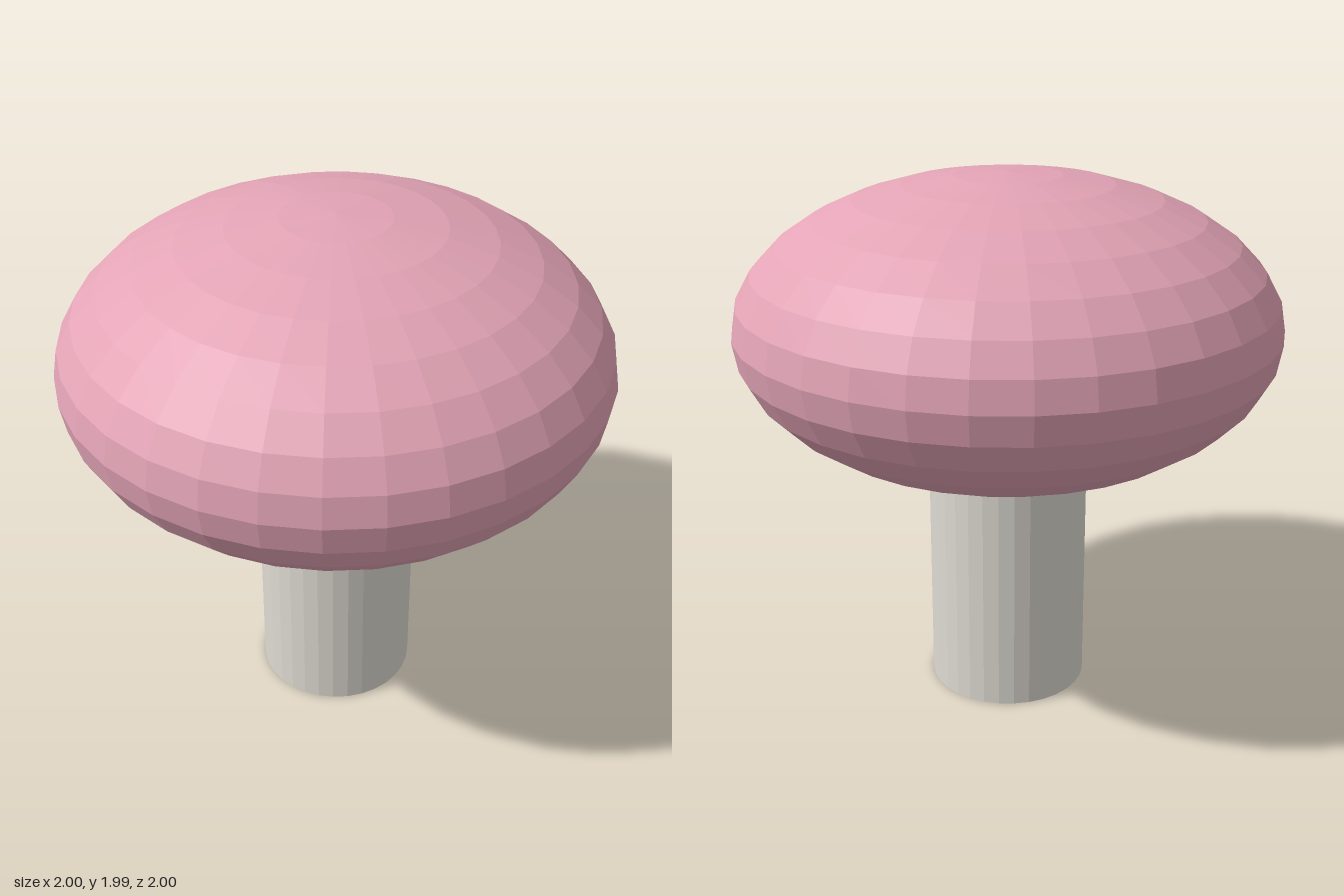
import * as THREE from 'three';

export function createModel() {
  const model = new THREE.Group();
  model.name = 'mushroom';

  const pink = new THREE.MeshStandardMaterial({ color: 0xe3a4b6, flatShading: true });
  pink.name = 'dusty pink';
  const cream = new THREE.MeshStandardMaterial({ color: 0xdfdbd3, flatShading: true });
  cream.name = 'warm grey';

  // Stem: straight column, its top buried in the cap
  const stemHeight = 1.1;
  const stem = new THREE.Mesh(new THREE.CylinderGeometry(0.3, 0.3, stemHeight, 32), cream);
  stem.name = 'stem';
  stem.position.y = stemHeight / 2;
  model.add(stem);

  // Cap: faceted, flattened sphere
  const capGeometry = new THREE.SphereGeometry(1, 32, 16);
  capGeometry.scale(1, 0.55, 1);
  const cap = new THREE.Mesh(capGeometry, pink);
  cap.name = 'cap';
  cap.position.y = 1.44;
  model.add(cap);

  return model;
}
